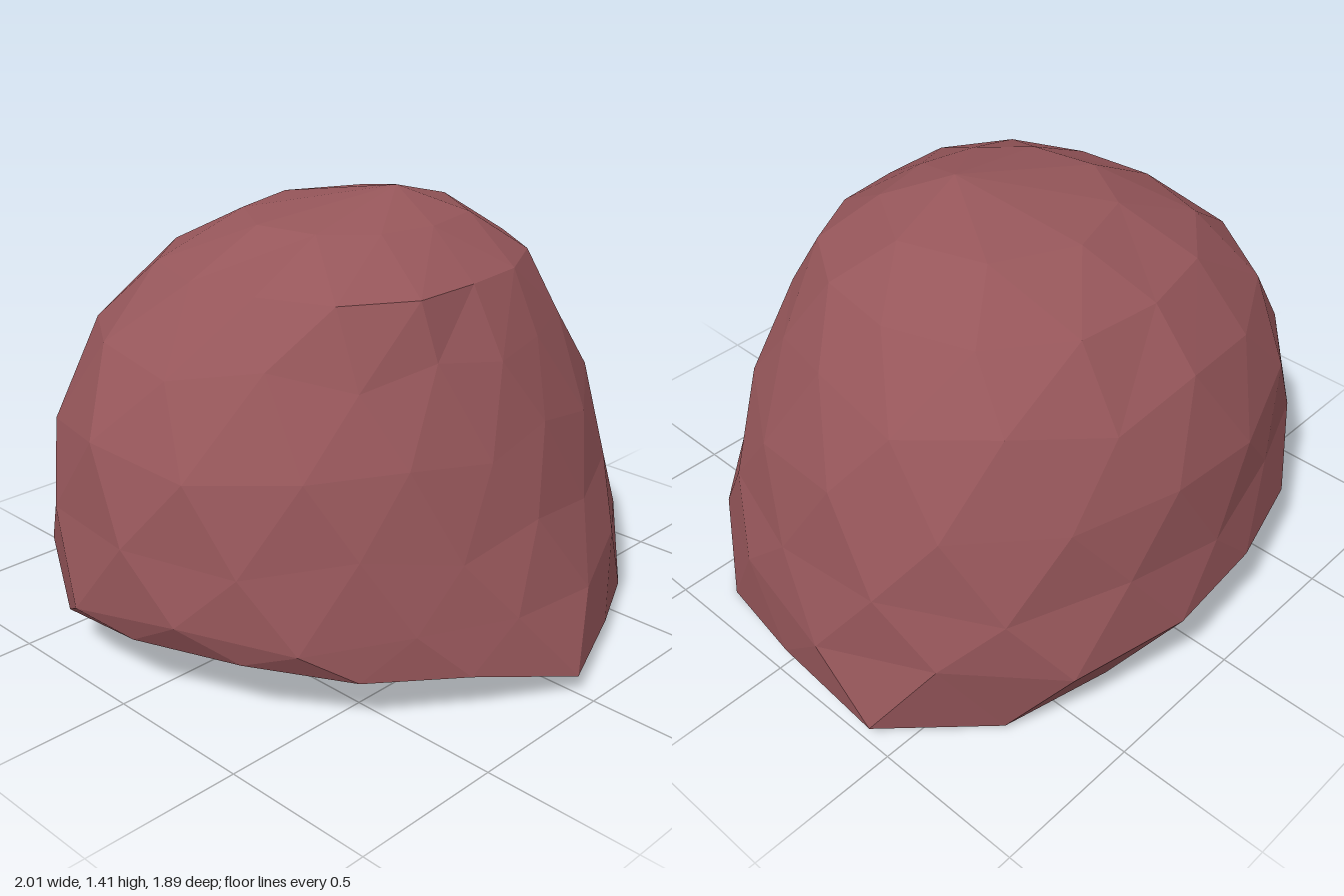
import * as THREE from 'three';

// Horizontal sections from rim to crown: height, point count and radii,
// read at 16 even angles turning from +x through +z (front).
const rings = [
  { y: 0, n: 16, r: [.97, .96, .91, .87, .94, .86, .86, .89, .95, .99, .9, .86, .8, .84, .97, 1.07] },
  { y: .28, n: 16, r: [.97, .94, .88, .83, .86, .82, .85, .92, 1, 1.02, .99, .93, .93, 1, 1.03, 1.03] },
  { y: .5, n: 16, r: [.93, .9, .83, .77, .77, .78, .83, .9, .98, 1.01, .98, .92, .91, .96, 1, 1] },
  { y: .75, n: 16, r: [.87, .82, .76, .69, .68, .7, .76, .84, .93, .96, .94, .89, .88, .92, .95, .93] },
  { y: 1, n: 16, r: [.75, .7, .65, .6, .6, .6, .65, .7, .78, .83, .83, .8, .79, .82, .85, .82] },
  { y: 1.2, n: 14, r: [.6, .57, .54, .5, .48, .53, .57, .55, .56, .6, .63, .62, .62, .65, .67, .65] },
  { y: 1.33, n: 9, r: [.42, .39, .35, .3, .27, .27, .28, .29, .31, .34, .36, .38, .4, .42, .43, .43] },
];
// Uneven height of the open rim
const rimY = [.06, 0, .02, .06, .06, .14, .16, .2, .2, .14, .12, .1, .07, .03, .02, .04];

// Reads a closed 16-value list at fraction u of a turn
function sample(list, u) {
  const f = (((u % 1) + 1) % 1) * 16, i = Math.floor(f) % 16;
  return THREE.MathUtils.lerp(list[i], list[(i + 1) % 16], f - Math.floor(f));
}

function makeRing({ y, n, r }, level) {
  const shift = level % 2 ? 0.5 : 0; // alternate rows are staggered
  return Array.from({ length: n }, (_, i) => {
    const u = (i + shift) / n, a = u * Math.PI * 2;
    const wobble = level > 0 && level < 5 ? 0.03 * Math.sin(i * 2.7 + level * 1.9) : 0;
    const radius = sample(r, u) * (shift ? 1.01 : 1) - wobble * 0.3;
    const height = level === 0 ? sample(rimY, u) : y + wobble;
    return { u, p: [Math.cos(a) * radius, height, Math.sin(a) * radius] };
  });
}

// Joins two rings with triangles, stepping along whichever is behind
function stitch(low, high, out) {
  const at = (ring, i) => ring[i % ring.length].p;
  const turn = (ring, i) => ring[i % ring.length].u + Math.floor(i / ring.length);
  let i = 0, j = 0;
  while (i < low.length || j < high.length) {
    const stepLow = j >= high.length ||
      (i < low.length && turn(low, i + 1) <= turn(high, j + 1));
    if (stepLow) {
      out.push(...at(low, i), ...at(high, j), ...at(low, i + 1));
      i++;
    } else {
      out.push(...at(low, i), ...at(high, j), ...at(high, j + 1));
      j++;
    }
  }
}

export function createModel() {
  const group = new THREE.Group();
  group.name = 'cap';
  const dustyRed = new THREE.MeshStandardMaterial({
    color: 0x96565a, flatShading: true, side: THREE.DoubleSide,
  });
  dustyRed.name = 'dusty red';

  // Wall from rim to crown
  const sections = rings.map(makeRing);
  const corners = [];
  for (let k = 0; k < sections.length - 1; k++) stitch(sections[k], sections[k + 1], corners);

  // Crown closed by a fan to its peak
  const top = sections[sections.length - 1];
  const peak = [0.13, 1.41, 0.05];
  top.forEach((c, i) => corners.push(...c.p, ...peak, ...top[(i + 1) % top.length].p));

  const geometry = new THREE.BufferGeometry();
  geometry.setAttribute('position', new THREE.Float32BufferAttribute(corners, 3));
  geometry.computeVertexNormals();
  const shell = new THREE.Mesh(geometry, dustyRed);
  shell.name = 'capShell';
  group.add(shell);
  return group;
}
